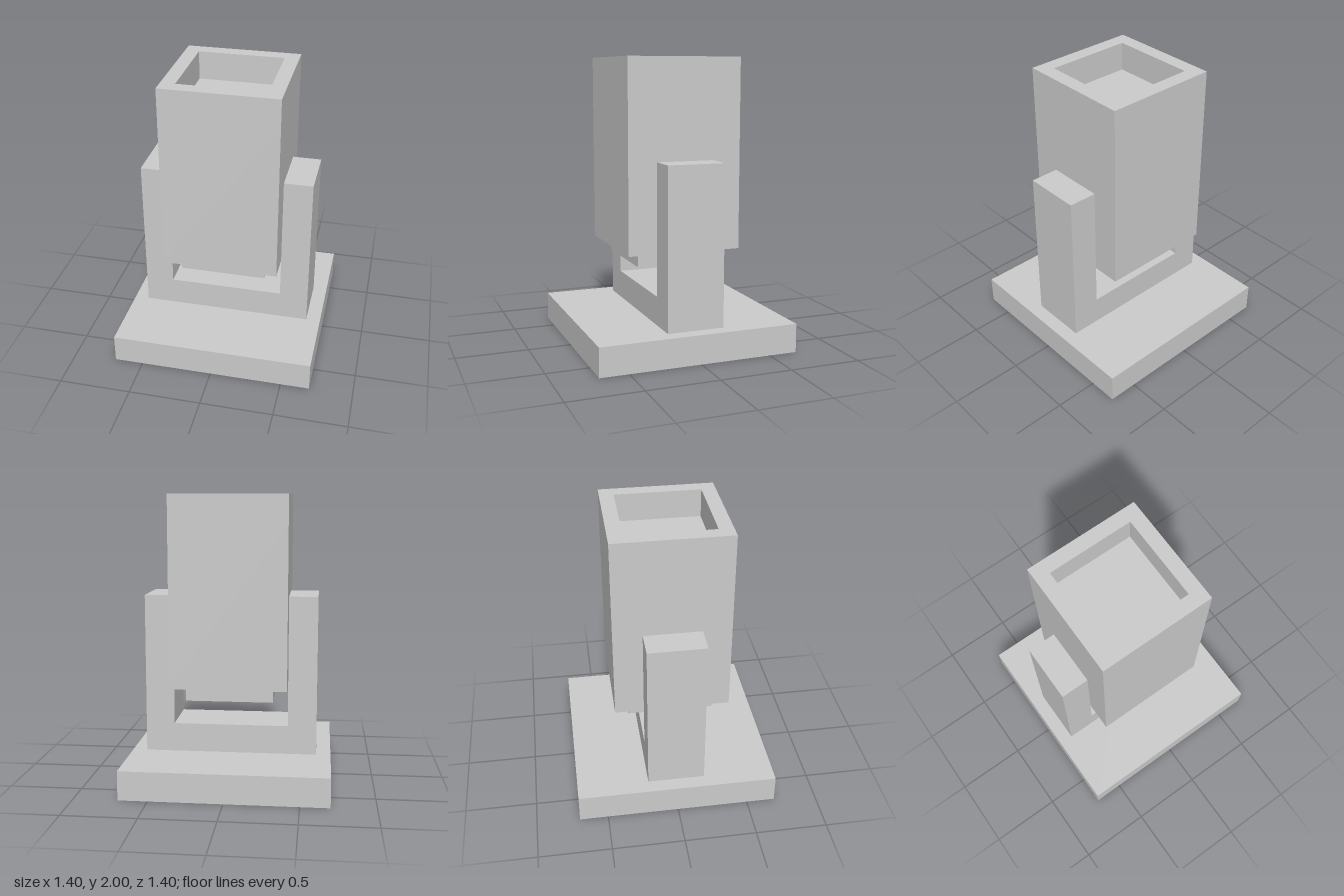
import * as THREE from 'three';

const material = new THREE.MeshStandardMaterial({ color: 0xcccccc, flatShading: true });

function addPart(group, name, geometry, y) {
  const mesh = new THREE.Mesh(geometry, material);
  mesh.name = name;
  mesh.position.y = y;
  group.add(mesh);
  return mesh;
}

// box standing on height y0 and reaching up to y1
function addBox(group, name, width, depth, y0, y1) {
  return addPart(group, name, new THREE.BoxGeometry(width, y1 - y0, depth), (y0 + y1) / 2);
}

function squarePoints(h) {
  return [[-h, -h], [h, -h], [h, h], [-h, h]].map(([x, y]) => new THREE.Vector2(x, y));
}

export function createModel() {
  const group = new THREE.Group();
  group.name = 'yokeMountedBlock';

  // square base slab
  addBox(group, 'base', 1.4, 1.4, 0, 0.2);

  // U-shaped yoke, extruded along z
  const profile = new THREE.Shape([
    [-0.6, 0.2], [0.6, 0.2], [0.6, 1.31], [0.4, 1.31],
    [0.4, 0.4], [-0.4, 0.4], [-0.4, 1.31], [-0.6, 1.31],
  ].map(([x, y]) => new THREE.Vector2(x, y)));
  const yoke = new THREE.ExtrudeGeometry(profile, { depth: 0.4, bevelEnabled: false });
  yoke.translate(0, 0, -0.2);
  addPart(group, 'yoke', yoke, 0);

  // body held between the arms, with a shallow square recess in its top
  const recessFloor = 1.8;
  addBox(group, 'body', 0.8, 0.8, 0.69, recessFloor);
  const rimShape = new THREE.Shape(squarePoints(0.4));
  rimShape.holes.push(new THREE.Path(squarePoints(0.3)));
  const rim = new THREE.ExtrudeGeometry(rimShape, { depth: 2 - recessFloor, bevelEnabled: false });
  rim.rotateX(-Math.PI / 2);
  addPart(group, 'bodyRim', rim, recessFloor);

  // stepped plate below the body
  addBox(group, 'bottomPlate', 0.6, 0.6, 0.59, 0.69);

  return group;
}
